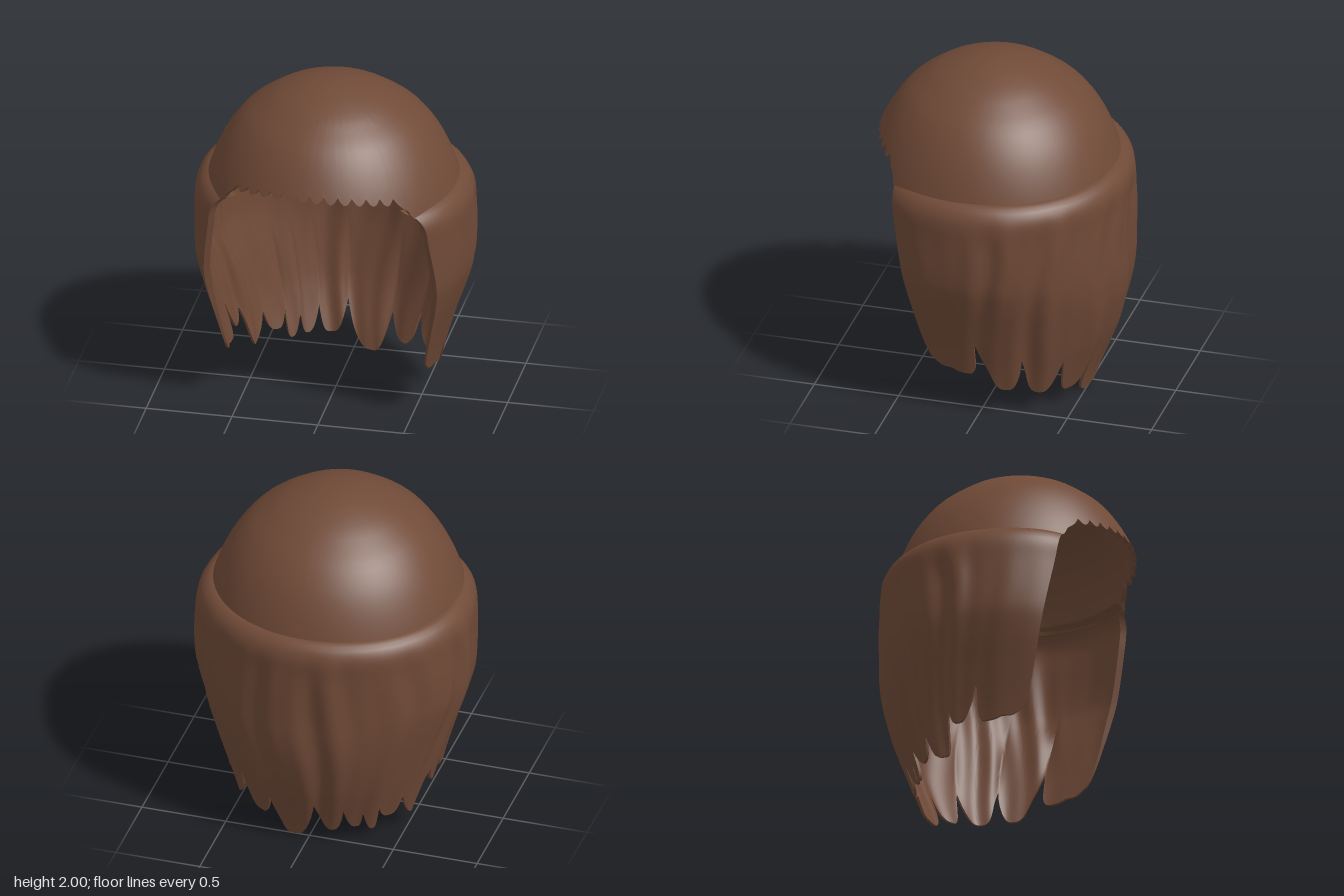
import * as THREE from 'three';
import { toCreasedNormals } from 'three/addons/utils/BufferGeometryUtils.js';

const rad = THREE.MathUtils.degToRad;
const smooth = THREE.MathUtils.smoothstep;

// Smooth lookup in rows of [key, value, value...] with rising keys
function lookup(rows, key, col = 1) {
  let k = 0;
  while (k < rows.length - 2 && key > rows[k + 1][0]) k++;
  const a = rows[k], b = rows[k + 1];
  const t = THREE.MathUtils.clamp((key - a[0]) / (b[0] - a[0]), 0, 1);
  const slope = (i) => {
    const p = rows[Math.max(i - 1, 0)], n = rows[Math.min(i + 1, rows.length - 1)];
    return (n[col] - p[col]) / (n[0] - p[0]);
  };
  const h = b[0] - a[0], t2 = t * t, t3 = t2 * t;
  return (2 * t3 - 3 * t2 + 1) * a[col] + (t3 - 2 * t2 + t) * h * slope(k)
    + (3 * t2 - 2 * t3) * b[col] + (t3 - t2) * h * slope(k + 1);
}

// Shell swept through columns; each column is a ring: outer side down, inner side up
function shell(columns, rows, pointAt, capped) {
  const n = rows * 2, pos = [], idx = [];
  for (let j = 0; j <= columns; j++) {
    for (let i = 0; i < n; i++) {
      const inner = i >= rows;
      pos.push(...pointAt(j / columns, (inner ? n - 1 - i : i) / (rows - 1), inner));
    }
  }
  for (let j = 0; j < columns; j++) {
    for (let i = 0; i < n; i++) {
      const a = j * n + i, c = j * n + (i + 1) % n;
      idx.push(a, a + n, c, a + n, c + n, c);
    }
  }
  if (capped) {
    const e = columns * n;
    for (let i = 0; i < rows - 1; i++) {
      const o = i, p = i + 1, q = n - 1 - i, r = n - 2 - i;
      idx.push(o, p, q, p, r, q);
      idx.push(e + o, e + q, e + p, e + p, e + q, e + r);
    }
  }
  const geo = new THREE.BufferGeometry();
  geo.setAttribute('position', new THREE.Float32BufferAttribute(pos, 3));
  geo.setIndex(idx);
  return toCreasedNormals(geo, rad(50));
}

// Cap radius by height
const CAP = [[1.36, 0.73], [1.4, 0.72], [1.5, 0.685], [1.6, 0.64], [1.7, 0.58], [1.8, 0.495], [1.9, 0.36]];
function capRadius(y) {
  return y < 1.9 ? lookup(CAP, y) : 0.36 * Math.sqrt(Math.max(0, (2 - y) / 0.1));
}

// Lower rim of the cap: scalloped fringe in front, plain around the back
function capRim(phi) {
  const a = Math.abs(180 - phi);
  const fringe = 1.575 - 0.055 * (a / 45) ** 2 - 0.04 * Math.abs(Math.sin(rad(a * 180 / 7)));
  return THREE.MathUtils.lerp(fringe, 1.38, smooth(a, 44, 53));
}

function capPoint(u, v, inner) {
  const phi = u * 360, s = Math.sin(rad(phi)), c = -Math.cos(rad(phi));
  const y = 2 - (2 - capRim(phi)) * v * v;
  const r = capRadius(y) * (inner ? 0.955 : 1);
  const middle = 0.05 + 0.02 * smooth(y, 1.6, 2);
  return [r * s, y - (inner ? 0.03 * (1 - v) : 0), middle + r * c * (c > 0 ? 1.02 : 0.97)];
}

// Curtain of hair: height, half width, half depth, z of its front edge
const HANG = [
  [0, 0.57, 0.505, 0.22], [0.1, 0.58, 0.535, 0.23], [0.28, 0.615, 0.605, 0.26], [0.4, 0.645, 0.65, 0.31],
  [0.6, 0.705, 0.7, 0.365], [0.75, 0.755, 0.717, 0.4], [0.9, 0.793, 0.718, 0.433], [1.2, 0.8, 0.722, 0.487],
  [1.32, 0.793, 0.722, 0.503], [1.39, 0.755, 0.69, 0.507], [1.415, 0.715, 0.65, 0.508],
];
// Lower edge: angle from the back in degrees, height; tips and notches alternate
const EDGE = [
  [-115, 0.34], [-107, 0.285], [-104, 0.285], [-95, 0.265], [-88, 0.49], [-79, 0.27], [-74, 0.38], [-65, 0.11],
  [-56, 0.27], [-47, 0.14], [-41, 0.23], [-37, 0.07], [-32, 0.21], [-28, 0.09], [-21, 0.23],
  [-14, 0.08], [-5, 0.27], [11, 0], [21, 0.25], [32, 0.09], [42, 0.33], [53, 0.13],
  [65, 0.37], [73, 0.17], [87, 0.49], [95, 0.265], [104, 0.285], [107, 0.285], [115, 0.34],
];
function lowerEdge(deg) {
  let k = 0;
  while (k < EDGE.length - 2 && deg > EDGE[k + 1][0]) k++;
  const [a, ya] = EDGE[k], [b, yb] = EDGE[k + 1];
  const t = (deg - a) / (b - a);
  return ya < yb ? ya + (yb - ya) * t ** 3 : yb + (ya - yb) * (1 - t) ** 3;
}

function curtainPoint(u, v, inner) {
  const side = u * 2 - 1, deg = side * 115;
  const y = 1.415 + (lowerEdge(deg) - 1.415) * v ** 1.25;
  let rx = lookup(HANG, y, 1), rz = lookup(HANG, y, 2);
  const phi = side * (Math.PI / 2 + Math.asin(lookup(HANG, y, 3) / rz));
  // Swaying, uneven folds, fading at the top and front edges
  const strength = smooth(1.415 - y, 0.02, 0.35) * (1 - 0.85 * smooth(Math.abs(deg), 78, 105))
    * (0.7 + 0.3 * Math.sin(5 * phi + 2));
  const sway = phi + 0.06 * Math.sin(4.5 * y + 2 * phi);
  const fold = strength * (0.013 * Math.sin(16 * sway) + 0.007 * Math.sin(27 * sway + 1.5 * y + 1));
  // Walls thin out toward the tips and front edges
  const wall = inner ? 0.055 * (1 - 0.7 * smooth(v, 0.6, 1)) * (1 - 0.3 * smooth(Math.abs(side), 0.9, 1)) : 0;
  rx += fold - wall;
  rz += fold - wall;
  const s = Math.sin(phi), c = -Math.cos(phi);
  return [rx * s * (1 + 0.2 * Math.max(0, c) ** 2), y, rz * c];
}

export function createModel() {
  const group = new THREE.Group();
  group.name = 'hair';
  const brown = new THREE.MeshStandardMaterial({ color: 0x704a37, side: THREE.DoubleSide });
  brown.name = 'brown hair';

  const cap = new THREE.Mesh(shell(360, 22, capPoint, false), brown);
  cap.name = 'hairCap';

  const curtain = new THREE.Mesh(shell(345, 40, curtainPoint, true), brown);
  curtain.name = 'longHair';

  group.add(cap, curtain);
  return group;
}
